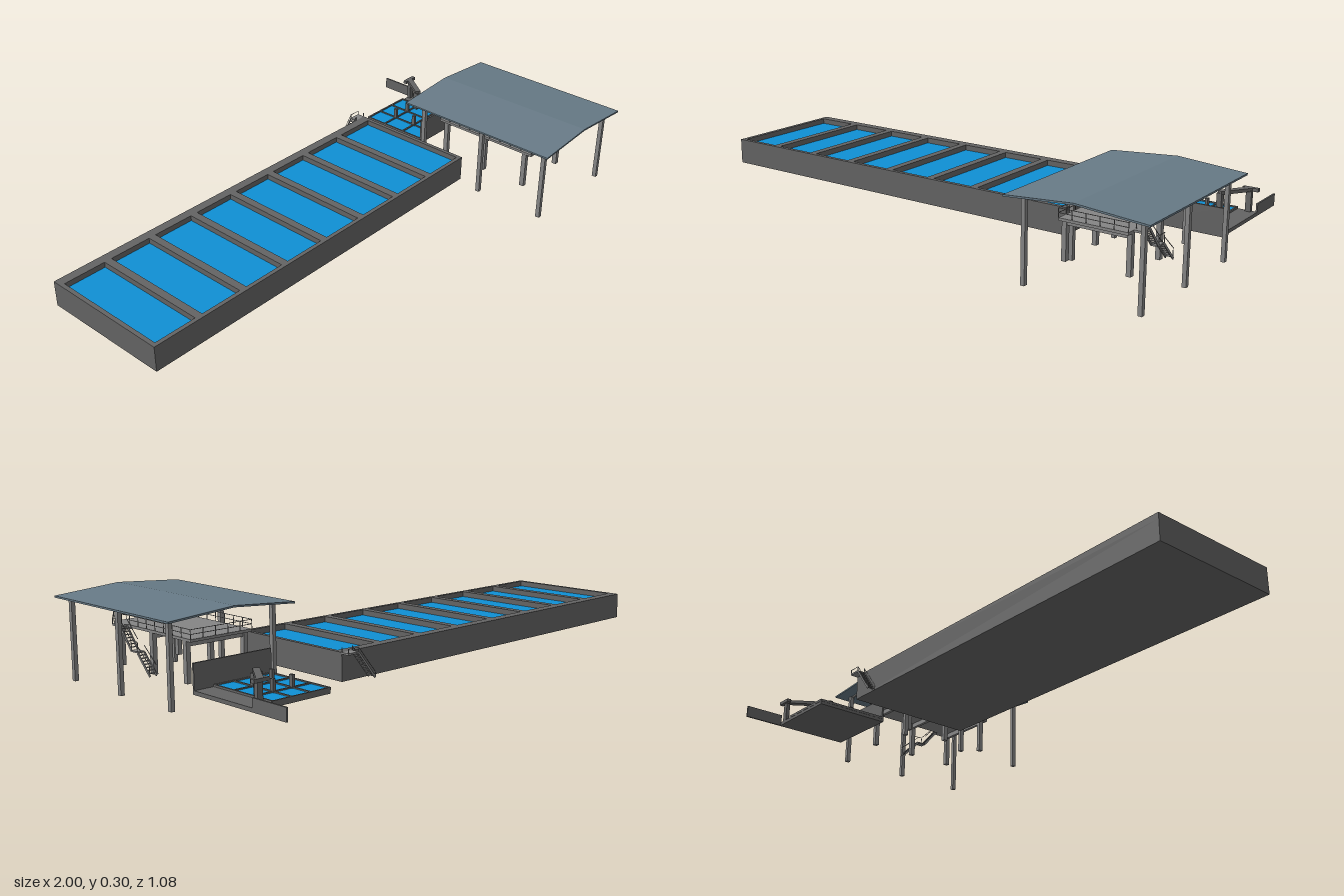
import * as THREE from 'three';

const mat = (name, color, side = THREE.FrontSide) => {
  const m = new THREE.MeshStandardMaterial({ color, side });
  m.name = name;
  return m;
};

export function createModel() {
  const concrete = mat('concrete', 0x646464);
  const steel = mat('steel', 0x858585);
  const water = mat('water', 0x0f90d4);
  const roofing = mat('roofing', 0x677a86);

  const model = new THREE.Group();
  model.name = 'waterTreatmentPlant';
  const group = (name) => {
    const g = new THREE.Group();
    g.name = name;
    model.add(g);
    return g;
  };

  // Box given by its minimum and maximum on each axis
  const box = (parent, name, m, x0, x1, y0, y1, z0, z1) => {
    const mesh = new THREE.Mesh(new THREE.BoxGeometry(x1 - x0, y1 - y0, z1 - z0), m);
    mesh.position.set((x0 + x1) / 2, (y0 + y1) / 2, (z0 + z1) / 2);
    mesh.name = name;
    parent.add(mesh);
    return mesh;
  };

  // Square bar between two points
  const bar = (parent, name, m, a, b, w, h = w) => {
    const p = new THREE.Vector3(...a), q = new THREE.Vector3(...b);
    const mesh = new THREE.Mesh(new THREE.BoxGeometry(w, h, p.distanceTo(q)), m);
    mesh.position.copy(p).add(q).multiplyScalar(0.5);
    mesh.lookAt(q);
    mesh.name = name;
    parent.add(mesh);
    return mesh;
  };

  // Long tank: solid base, and a rim pierced by eight pools
  const tank = group('tank');
  const waterY = 0.132;
  box(tank, 'tankBase', concrete, -1, 0.51, 0.058, waterY - 0.002, -0.315, 0.175);
  const rim = new THREE.Shape();
  const rect = (p, x0, x1, z0, z1) => {
    p.moveTo(x0, -z1);
    p.lineTo(x1, -z1);
    p.lineTo(x1, -z0);
    p.lineTo(x0, -z0);
    p.closePath();
    return p;
  };
  rect(rim, -1, 0.51, -0.315, 0.175);
  for (let i = 0; i < 8; i++) {
    const x = -0.984 + i * 0.1885;
    rim.holes.push(rect(new THREE.Path(), x, x + 0.16, -0.28, 0.16));
    box(tank, 'poolWater', water, x, x + 0.16, waterY - 0.004, waterY, -0.28, 0.16);
  }
  const rimMesh = new THREE.Mesh(
    new THREE.ExtrudeGeometry(rim, { depth: 0.152 - waterY + 0.002, bevelEnabled: false }), concrete);
  rimMesh.rotation.x = -Math.PI / 2;
  rimMesh.position.y = waterY - 0.002;
  rimMesh.name = 'tankRim';
  tank.add(rimMesh);

  // Small stair on the back of the tank
  const tankStair = group('tankStair');
  box(tankStair, 'landing', steel, 0.465, 0.51, 0.146, 0.152, -0.345, -0.315);
  for (let i = 0; i < 9; i++) {
    const x = 0.465 - i * 0.008, y = 0.142 - i * 0.01;
    box(tankStair, 'tread', steel, x - 0.009, x, y, y + 0.002, -0.343, -0.317);
  }
  for (const z of [-0.344, -0.316]) {
    bar(tankStair, 'stringer', steel, [0.465, 0.149, z], [0.393, 0.058, z], 0.002, 0.007);
    bar(tankStair, 'handrail', steel, [0.465, 0.166, z], [0.393, 0.077, z], 0.0015);
    for (const [x, y] of [[0.465, 0.15], [0.393, 0.058], [0.509, 0.15]])
      box(tankStair, 'railPost', steel, x - 0.001, x + 0.001, y, y + 0.017, z - 0.001, z + 0.001);
  }
  bar(tankStair, 'handrail', steel, [0.465, 0.166, -0.344], [0.51, 0.166, -0.344], 0.0015);

  // Canopy: shallow gable on six columns
  const canopy = group('canopy');
  const gable = new THREE.Shape();
  [[0.514, 0.28], [0.757, 0.298], [1, 0.28], [1, 0.286], [0.757, 0.304], [0.514, 0.286]]
    .forEach(([x, y], i) => (i ? gable.lineTo(x, y) : gable.moveTo(x, y)));
  const roof = new THREE.Mesh(
    new THREE.ExtrudeGeometry(gable, { depth: 0.642, bevelEnabled: false }), roofing);
  roof.position.z = -0.104;
  roof.name = 'roof';
  canopy.add(roof);
  for (const z of [0.496, 0.222, -0.05]) {
    for (const x of [0.564, 0.961])
      box(canopy, 'column', steel, x - 0.007, x + 0.007, 0, 0.283, z - 0.008, z + 0.008);
    for (const x of [0.564, 0.95])
      bar(canopy, 'rafter', steel, [x, 0.281, z], [0.757, 0.295, z], 0.008, 0.006);
  }

  // Raised platform with beams, legs and railing
  const platform = group('platform');
  const [px0, px1, pz0, pz1] = [0.625, 0.863, -0.02, 0.405];
  box(platform, 'deck', steel, px0, px1, 0.192, 0.201, pz0, pz1);
  for (const z of [0.374, 0.192, 0.012]) {
    for (const x of [0.632, 0.855])
      box(platform, 'leg', steel, x - 0.008, x + 0.008, 0.057, 0.193, z - 0.009, z + 0.009);
    box(platform, 'crossBeam', steel, 0.632, 0.855, 0.174, 0.193, z - 0.006, z + 0.006);
  }
  for (const y of [0.217, 0.232]) {
    for (const x of [px0, px1]) {
      const end = x === px1 && y < 0.22 ? 0.32 : pz1;
      bar(platform, 'rail', steel, [x, y, pz0], [x, y, end], 0.0018);
    }
    for (const z of [pz0, pz1]) bar(platform, 'rail', steel, [px0, y, z], [px1, y, z], 0.0018);
  }
  const railPost = (x, z) =>
    box(platform, 'railPost', steel, x - 0.001, x + 0.001, 0.2, 0.232, z - 0.001, z + 0.001);
  for (let i = 0; i <= 9; i++)
    for (const x of [px0, px1]) railPost(x, pz0 + (i / 9) * (pz1 - pz0));
  for (let i = 1; i < 5; i++)
    for (const z of [pz0, pz1]) railPost(px0 + (i / 5) * (px1 - px0), z);

  // Two-flight stair beside the platform
  const stair = group('platformStair');
  const [sx0, sx1] = [0.865, 0.89];
  box(stair, 'topLanding', steel, 0.863, sx1, 0.194, 0.201, 0.325, 0.372);
  box(stair, 'midLanding', steel, sx0, sx1, 0.123, 0.128, 0.228, 0.267);
  const flights = [[0.2, 0.325, 0.127, 0.265], [0.126, 0.229, 0.058, 0.165]];
  for (const [y0, z0, y1, z1] of flights) {
    for (const x of [sx0, sx1]) {
      bar(stair, 'stringer', steel, [x, y0 - 0.003, z0], [x, y1, z1], 0.003, 0.008);
      bar(stair, 'handrail', steel, [x, y0 + 0.02, z0], [x, y1 + 0.034, z1], 0.0018);
    }
    for (let i = 1; i < 8; i++) {
      const y = y0 + (y1 - y0) * i / 8, z = z0 + (z1 - z0) * i / 8;
      box(stair, 'tread', steel, sx0, sx1, y - 0.001, y + 0.001, z - 0.004, z + 0.004);
    }
  }
  bar(stair, 'handrail', steel, [sx1, 0.219, 0.372], [sx1, 0.219, 0.325], 0.0018);
  bar(stair, 'handrail', steel, [sx1, 0.16, 0.267], [sx1, 0.16, 0.228], 0.0018);
  for (const [y, z] of [[0.2, 0.37], [0.2, 0.326], [0.127, 0.265], [0.127, 0.229], [0.058, 0.167]])
    box(stair, 'railPost', steel, sx1 - 0.001, sx1 + 0.001, y, y + 0.03, z - 0.001, z + 0.001);

  // Inlet basin: slab, tall front wall and nine water bays
  const basin = group('basin');
  box(basin, 'basinSlab', concrete, 0.628, 0.925, 0.057, 0.07, -0.392, -0.112);
  box(basin, 'frontWall', concrete, 0.628, 0.925, 0.057, 0.154, -0.118, -0.111);
  const xs = [0.63, 0.704, 0.778, 0.851], zs = [-0.39, -0.305, -0.211, -0.118];
  for (let i = 0; i < 3; i++)
    for (let j = 0; j < 3; j++)
      box(basin, 'bayWater', water, xs[i] + 0.003, xs[i + 1] - 0.003, 0.069, 0.073,
        zs[j] + 0.004, zs[j + 1] - 0.004);
  for (const x of xs) box(basin, 'divider', concrete, x - 0.003, x + 0.003, 0.068, 0.077, -0.39, -0.115);
  for (const z of zs) box(basin, 'divider', concrete, 0.628, 0.853, 0.068, 0.077, z - 0.003, z + 0.003);
  for (const x of [0.704, 0.778])
    for (const z of [-0.305, -0.211])
      box(basin, 'pier', concrete, x - 0.005, x + 0.005, 0.07, 0.115, z - 0.007, z + 0.007);

  // Diagonal gantry over the back corner, and the low channel wall
  const gantry = group('gantry');
  bar(gantry, 'gantryBeam', concrete, [0.828, 0.147, -0.29], [0.896, 0.147, -0.39], 0.022, 0.012);
  box(gantry, 'gantryHead', concrete, 0.868, 0.925, 0.141, 0.153, -0.4, -0.385);
  box(gantry, 'gantryPost', concrete, 0.819, 0.837, 0.07, 0.145, -0.308, -0.287);
  box(gantry, 'gantryPost', concrete, 0.885, 0.905, 0.07, 0.145, -0.391, -0.377);
  box(basin, 'channelWall', concrete, 0.919, 0.925, 0.057, 0.1, -0.538, -0.39);

  return model;
}
